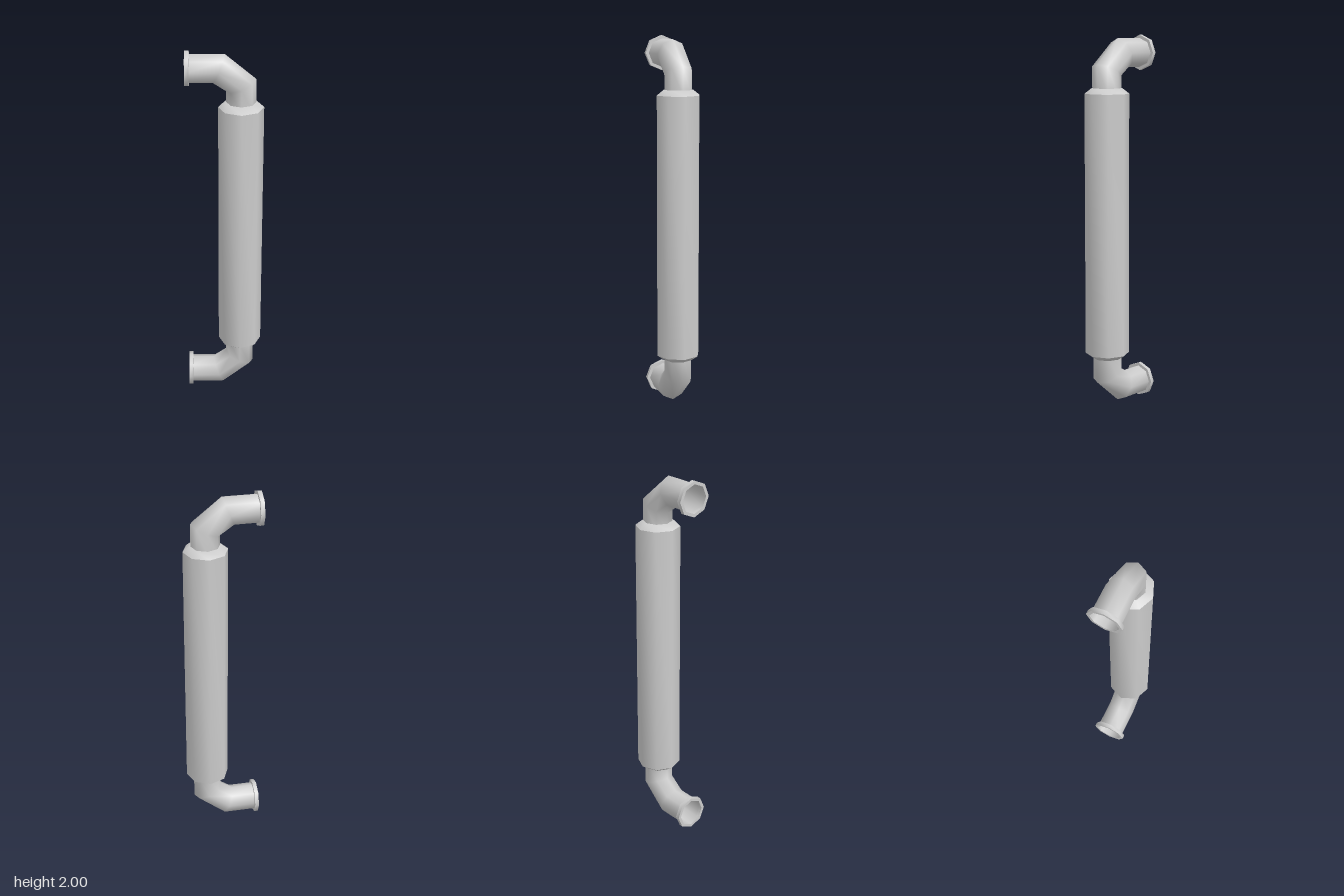
import * as THREE from 'three';
import { toCreasedNormals } from 'three/addons/utils/BufferGeometryUtils.js';

const SIDES = 8;
const AXIS_X = 0.084; // centre line of the upright
const END_Y = 0.093; // height of the lower mounting end
const PIPE_R = 0.076;

const material = new THREE.MeshStandardMaterial({ color: 0xcccccc, side: THREE.DoubleSide });

function add(group, name, geometry) {
  const mesh = new THREE.Mesh(geometry, material);
  mesh.name = name;
  group.add(mesh);
  return mesh;
}

// Octagonal tube through mitred rings, each given by its outer and inner point in the xy plane
function pipeGeometry(rings) {
  const positions = [];
  const indices = [];
  rings.forEach(([ox, oy, ix, iy], j) => {
    for (let i = 0; i < SIDES; i++) {
      const a = (i / SIDES) * Math.PI * 2;
      const c = Math.cos(a) / 2;
      positions.push((ox + ix) / 2 + (ox - ix) * c, (oy + iy) / 2 + (oy - iy) * c, PIPE_R * Math.sin(a));
      if (j === rings.length - 1) continue;
      const p = j * SIDES + i;
      const q = j * SIDES + ((i + 1) % SIDES);
      indices.push(p, q, p + SIDES, q, q + SIDES, p + SIDES);
    }
  });
  const geometry = new THREE.BufferGeometry();
  geometry.setAttribute('position', new THREE.Float32BufferAttribute(positions, 3));
  geometry.setIndex(indices);
  geometry.computeVertexNormals();
  return geometry;
}

function latheGeometry(profile) {
  const points = profile.map(([r, y]) => new THREE.Vector2(r, y));
  return toCreasedNormals(new THREE.LatheGeometry(points, SIDES), 0.85);
}

export function createModel() {
  const group = new THREE.Group();
  group.name = 'pullHandle';

  // Bent pipe: upper half listed from the flange down, lower half mirrored about y = 1
  const top = 2 - END_Y;
  const upper = [
    [-0.201, top + PIPE_R, -0.201, top - PIPE_R],
    [0.0, top + PIPE_R, -0.062, top - PIPE_R],
    [AXIS_X + PIPE_R, 1.85, AXIS_X - PIPE_R, 1.785],
    [AXIS_X + PIPE_R, 1.7, AXIS_X - PIPE_R, 1.7],
  ];
  const lower = upper.map(([ox, oy, ix, iy]) => [ox, 2 - oy, ix, 2 - iy]).reverse();
  add(group, 'bentPipe', pipeGeometry([...upper, ...lower]));

  // Thick grip sleeve with bevelled ends
  const grip = add(group, 'gripSleeve', latheGeometry([
    [0.07, 0.279], [0.08, 0.279], [0.117, 0.305],
    [0.117, 1.7], [0.08, 1.728], [0.07, 1.728],
  ]));
  grip.position.x = AXIS_X;

  // Open mounting flanges
  const flangeGeometry = latheGeometry([
    [PIPE_R, 0], [0.093, 0], [0.093, 0.022], [PIPE_R, 0.022], [PIPE_R, 0],
  ]);
  for (const [name, y] of [['upperFlange', top], ['lowerFlange', END_Y]]) {
    const flange = add(group, name, flangeGeometry);
    flange.rotation.z = Math.PI / 2;
    flange.position.set(-0.179, y, 0);
  }

  return group;
}
